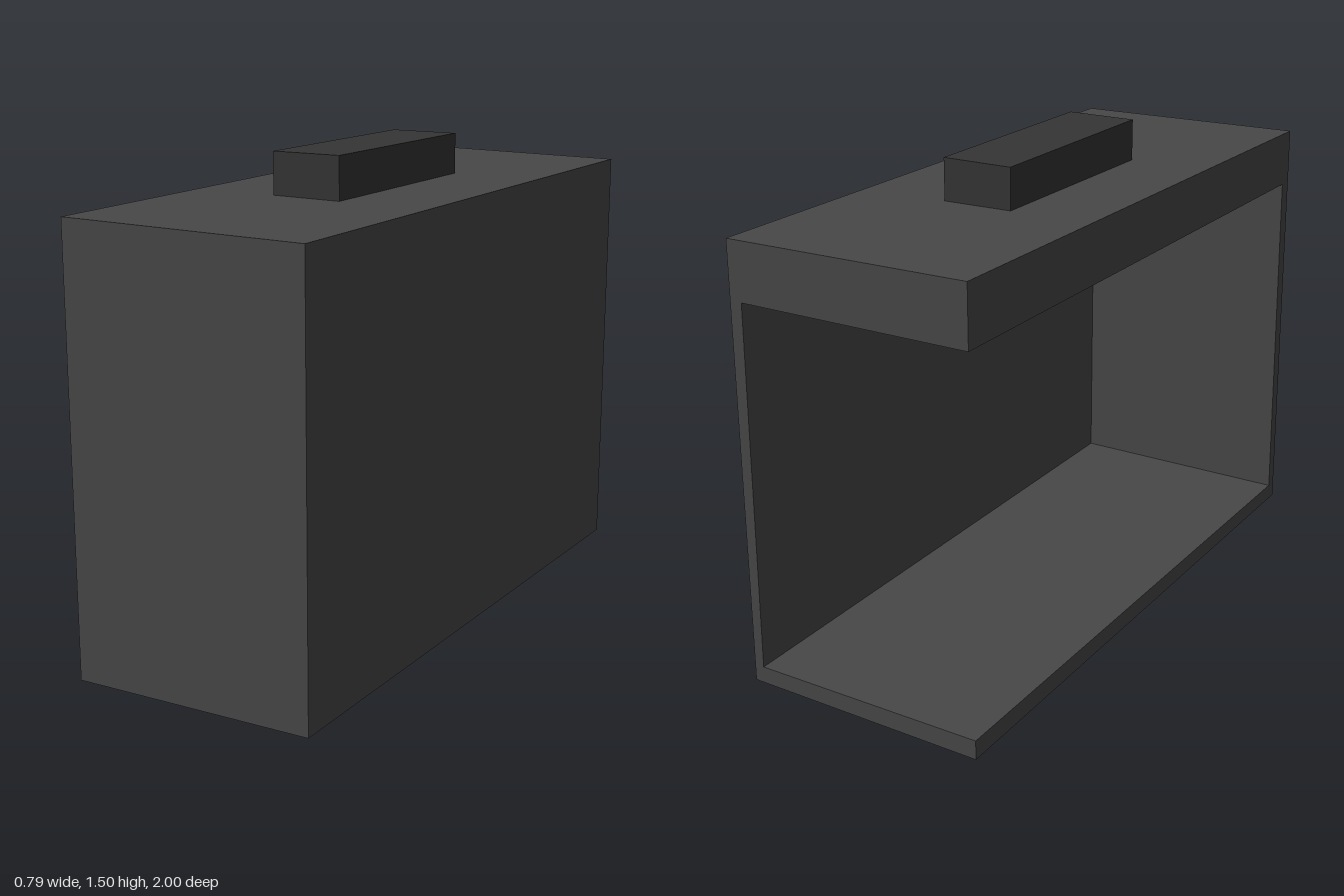
import * as THREE from 'three';

const HALF_W = 0.391, HALF_D = 0.995, HEIGHT = 1.37, MID = 0.008;

// Box given by its min and max corners
function boxBetween(x0, x1, y0, y1, z0, z1) {
  const g = new THREE.BoxGeometry(x1 - x0, y1 - y0, z1 - z0);
  g.translate((x0 + x1) / 2, (y0 + y1) / 2, (z0 + z1) / 2);
  return g;
}

// Leans the outer sides and tilts the outer top and bottom slightly; the cavity stays square
function skewHull(g) {
  const p = g.attributes.position;
  for (let i = 0; i < p.count; i++) {
    const x = p.getX(i), y = p.getY(i), z = p.getZ(i);
    const lean = 0.01 * (y / HEIGHT - 0.5);
    const tilt = 0.004 * (x / HALF_W + z / HALF_D);
    if (Math.abs(x) > HALF_W - 0.01) p.setX(i, x + lean);
    if (Math.abs(z) > HALF_D - 0.01) p.setZ(i, z + lean);
    if (y > HEIGHT - 0.01) p.setY(i, y - tilt);
    if (y < MID + 0.005) p.setY(i, y + tilt);
  }
  g.computeVertexNormals();
  return g;
}

export function createModel() {
  const group = new THREE.Group();
  const bodyMat = new THREE.MeshStandardMaterial({ color: 0x484848 });
  const handleMat = new THREE.MeshStandardMaterial({ color: 0x353535 });
  const add = (name, geometry, material) => {
    const mesh = new THREE.Mesh(geometry, material);
    mesh.name = name;
    group.add(mesh);
  };

  const floorY = 0.06, ceilingY = 1.193; // cavity height limits
  const innerX = 0.355, innerZ = 0.953;  // cavity faces of the two walls

  // Case open at the back and on the -x side
  add('floor', skewHull(boxBetween(-HALF_W, HALF_W, MID, floorY, -HALF_D, HALF_D)), bodyMat);
  add('topSlab', skewHull(boxBetween(-HALF_W, HALF_W, ceilingY, HEIGHT, -HALF_D, HALF_D)), bodyMat);
  add('leftWall', skewHull(boxBetween(innerX, HALF_W, floorY, ceilingY, -HALF_D, HALF_D)), bodyMat);
  add('frontWall', skewHull(boxBetween(-HALF_W, innerX, floorY, ceilingY, innerZ, HALF_D)), bodyMat);

  // Raised block on the top
  add('handle', boxBetween(-0.12, 0.107, 1.36, 1.5, -0.368, 0.357), handleMat);

  return group;
}
